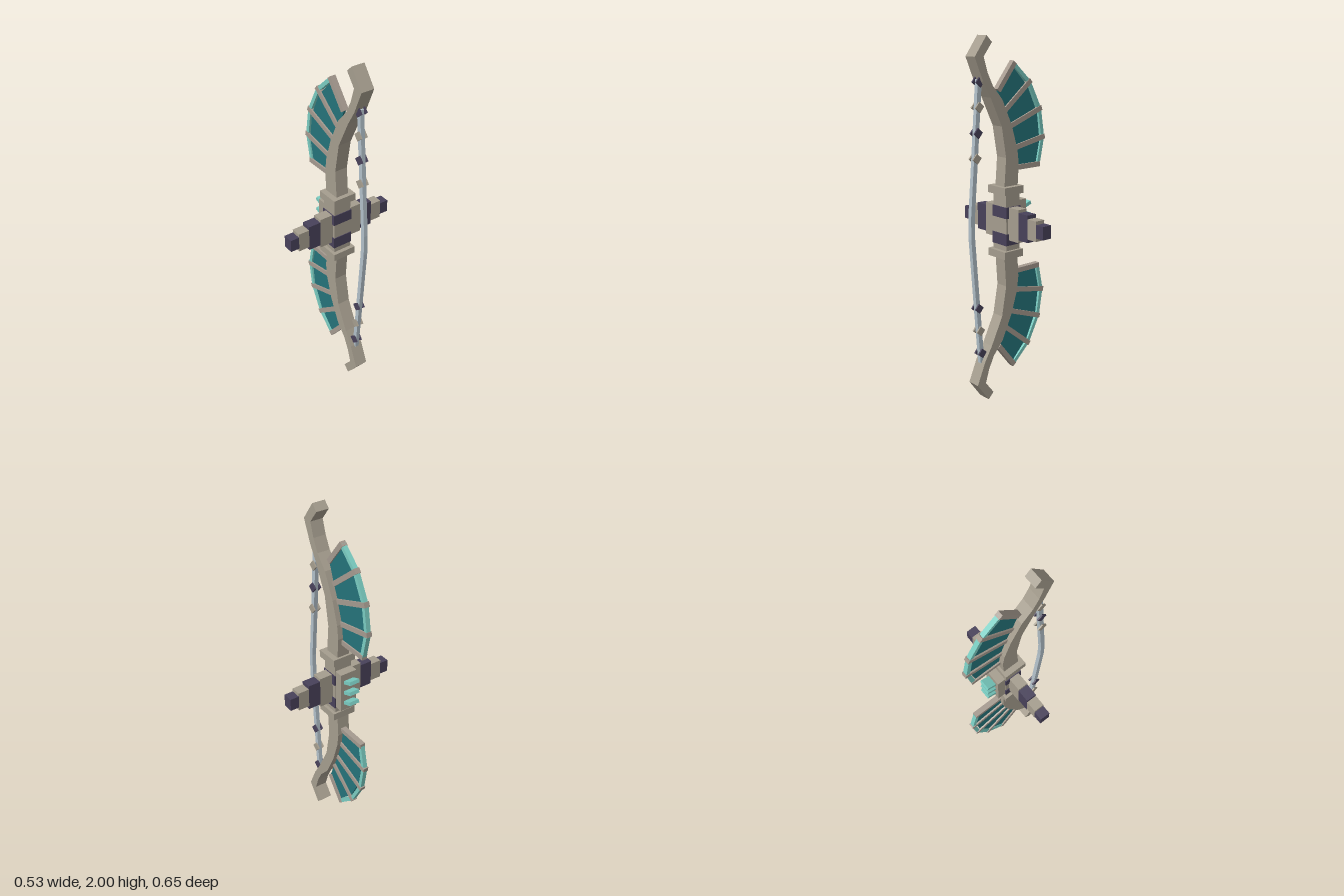
import * as THREE from 'three';

const mat = (name, color) => {
  const m = new THREE.MeshStandardMaterial({ color });
  m.name = name;
  return m;
};

export function createModel() {
  const model = new THREE.Group();
  model.name = 'bow';
  const stone = mat('stone', 0xa59d8e);
  const bone = mat('ribBone', 0xa59a8f);
  const dark = mat('darkPurple', 0x48415a);
  const teal = mat('deepTeal', 0x25737a);
  const mint = mat('paleTeal', 0x7accc1);
  const cord = mat('cord', 0xb2c0c9);

  const add = (name, geo, material, parent = model) => {
    const mesh = new THREE.Mesh(geo, material);
    mesh.name = name;
    parent.add(mesh);
    return mesh;
  };
  // Box given by its minimum and maximum along each axis
  const box = (name, material, x0, x1, y0, y1, z0, z1) => {
    const mesh = add(name, new THREE.BoxGeometry(x1 - x0, y1 - y0, z1 - z0), material);
    mesh.position.set((x0 + x1) / 2, (y0 + y1) / 2, (z0 + z1) / 2);
    return mesh;
  };
  // Flat outline extruded evenly about z = 0
  const slab = (name, material, pts, depth, parent) => {
    const shape = new THREE.Shape(pts.map(([x, y]) => new THREE.Vector2(x, y)));
    const geo = new THREE.ExtrudeGeometry(shape, { depth, bevelEnabled: false });
    geo.translate(0, 0, -depth / 2);
    return add(name, geo, material, parent);
  };
  // Straight bar from a to b in the xy plane
  const bar = (name, material, a, b, width, depth, parent) => {
    const dx = b[0] - a[0], dy = b[1] - a[1];
    const mesh = add(name, new THREE.BoxGeometry(Math.hypot(dx, dy), width, depth), material, parent);
    mesh.position.set((a[0] + b[0]) / 2, (a[1] + b[1]) / 2, 0);
    mesh.rotation.z = Math.atan2(dy, dx);
    return mesh;
  };
  const lerp = (a, b, t) => [a[0] + (b[0] - a[0]) * t, a[1] + (b[1] - a[1]) * t];

  // Limb outline and fin ribs (outer end, inner end) for the lower half
  const limb = [
    [-0.04, 0.84], [-0.05, 0.68], [-0.04, 0.6], [0, 0.47], [0.065, 0.33], [0.13, 0.255],
    [0.165, 0.185], [0.19, 0.105], [0.135, 0.035], [0.17, 0], [0.248, 0.105],
    [0.195, 0.23], [0.145, 0.315], [0.07, 0.47], [0.04, 0.64], [0.055, 0.84],
  ];
  const ribs = [
    [[-0.23, 0.706], [-0.035, 0.706]],
    [[-0.263, 0.554], [-0.03, 0.6]],
    [[-0.238, 0.394], [-0.005, 0.48]],
    [[-0.158, 0.242], [0.03, 0.395]],
    [[-0.043, 0.142], [0.07, 0.285]],
  ];

  for (const side of ['lower', 'upper']) {
    const place = ([x, y]) => [x, side === 'upper' ? 2 - y : y];
    const half = new THREE.Group();
    half.name = side + 'Limb';
    model.add(half);
    slab('limb', stone, limb.map(place), 0.075, half);
    const fin = ribs.map((r) => r.map(place));
    fin.forEach(([outer, inner], i) => {
      bar('finRib', bone, outer, inner, 0.028, 0.032, half);
      if (i === 0) return;
      const [prevOuter, prevInner] = fin[i - 1];
      // Membrane between neighbouring ribs, with a pale rim outside it
      slab('finMembrane', teal, [
        lerp(prevOuter, prevInner, 0.15), lerp(outer, inner, 0.13), inner, prevInner,
      ], 0.014, half);
      bar('finRim', mint, lerp(prevOuter, prevInner, 0.06), lerp(outer, inner, 0.06), 0.022, 0.026, half);
    });
  }

  // Grip column with collars and dark bands
  box('gripColumn', stone, -0.043, 0.053, 0.82, 1.19, -0.053, 0.053);
  for (const y of [0.806, 1.162]) box('collar', stone, -0.056, 0.076, y, y + 0.042, -0.07, 0.07);
  box('upperBand', dark, -0.046, 0.057, 1.03, 1.092, -0.058, 0.058);
  box('lowerBand', dark, -0.046, 0.057, 0.878, 0.943, -0.058, 0.058);

  // Stepped guards, tapering toward the front and the back
  const steps = [
    [0.04, 0.135, 0.091, stone], [0.135, 0.208, 0.075, dark],
    [0.208, 0.273, 0.055, stone], [0.273, 0.325, 0.036, dark],
  ];
  for (const [z0, z1, h, material] of steps) {
    box('frontGuardStep', material, -0.02, 0.039, 1 - h, 1 + h, z0, z1);
    box('backGuardStep', material, -0.02, 0.039, 1 - h, 1 + h, -z1, -z0);
  }

  // Plate with three spikes on the outer side of the grip
  box('spikePlate', stone, -0.094, -0.043, 0.886, 1.122, -0.051, 0.051);
  for (const y of [0.938, 1.005, 1.072]) {
    bar('spike', mint, [-0.148, y + 0.018], [-0.085, y - 0.006], 0.02, 0.062);
  }

  // Bowstring, gently bent outward at the middle
  const stringPath = [[0.192, 0.22], [0.217, 0.53], [0.232, 0.72], [0.249, 0.94],
    [0.249, 1.06], [0.232, 1.28], [0.217, 1.48], [0.195, 1.78]];
  slab('bowstring', cord, [
    ...stringPath.map(([x, y]) => [x - 0.013, y]),
    ...stringPath.map(([x, y]) => [x + 0.013, y]).reverse(),
  ], 0.024);

  // Diamond clasps, a plate on each face of the string
  const clasps = [
    [0.197, 0.28, dark], [0.207, 0.413, stone], [0.216, 0.546, dark],
    [0.222, 1.372, stone], [0.213, 1.505, dark], [0.203, 1.638, stone], [0.198, 1.768, dark],
  ];
  for (const [x, y, material] of clasps) {
    for (const z of [-0.016, 0.016]) {
      const clasp = add('stringClasp', new THREE.BoxGeometry(0.04, 0.04, 0.009), material);
      clasp.position.set(x, y, z);
      clasp.rotation.z = 0.7;
    }
  }
  return model;
}
